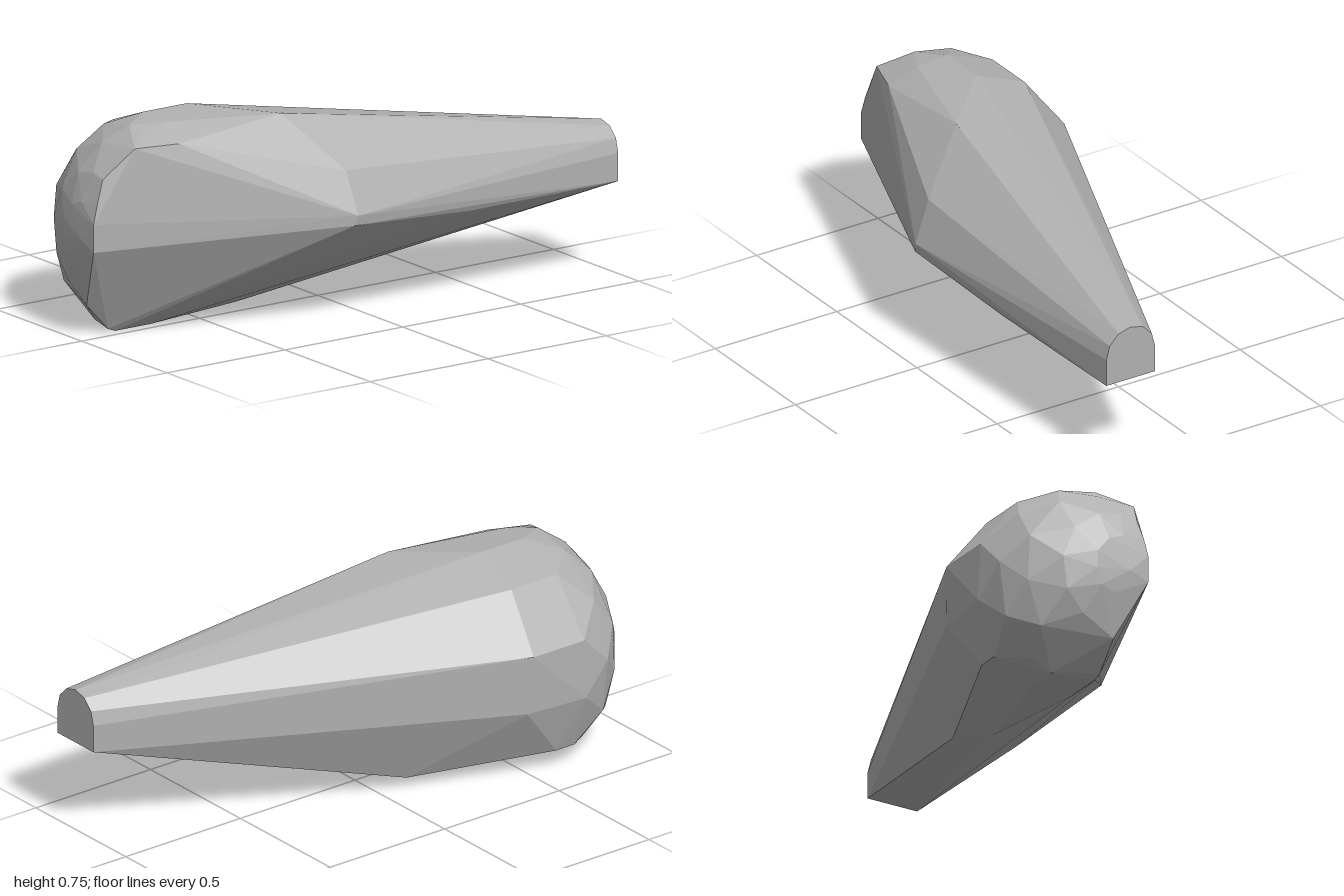
import * as THREE from 'three';
import { ConvexGeometry } from 'three/addons/geometries/ConvexGeometry.js';

const grey = new THREE.MeshStandardMaterial({ color: 0xb0b0b0 });
grey.name = 'stone grey';

export function createModel() {
  const points = [];
  const add = (x, y, z) => points.push(new THREE.Vector3(x, y, z));

  // narrow tail: flat base with an arched top
  add(0.18, 0.33, -1);
  add(0.38, 0.33, -1);
  for (let i = 0; i <= 6; i++) {
    const a = (i / 6) * Math.PI;
    add(0.28 + 0.1 * Math.cos(a), 0.43 + 0.1 * Math.sin(a), -1);
  }

  // widest outline of the blunt nose, from underside round to the top
  const outline = [[-0.04, 0], [-0.2, 0], [-0.355, 0.07], [-0.42, 0.27],
    [-0.41, 0.485], [-0.26, 0.68], [-0.075, 0.75], [0.05, 0.741]];
  // rounded nose: shrinking rings, staggered on every second one
  const cx = 0, cy = 0.38;
  const rings = [[0.68, 1], [0.79, 0.94], [0.87, 0.8], [0.945, 0.56], [0.985, 0.3]];
  rings.forEach(([z, s], r) => {
    outline.forEach(([x, y], i) => {
      let px = x, py = y, k = s;
      if (r % 2 && i < outline.length - 1) {
        px = (x + outline[i + 1][0]) / 2;
        py = (y + outline[i + 1][1]) / 2;
        k = s * 1.03;
      }
      add(cx + (px - cx) * k, cy + (py - cy) * k, z);
    });
  });

  // corners of the flat cut on the left side, the shoulder and the underside
  const corners = [
    [0.07, 0.33, 1], [0.07, 0.43, 1], [0, 0.36, 1], [0.065, 0.5, 0.98],
    [0.055, 0.58, 0.95], [0.105, 0.685, 0.85], [0.155, 0.69, 0.7],
    [0.36, 0.55, 0.14], [0.42, 0.4, 0.13], [0.415, 0.365, 0.14], [0.39, 0.33, -0.37],
    [0.16, 0.73, 0.27], [-0.075, 0.75, 0.5], [-0.26, 0.68, 0.48],
    [-0.41, 0.485, 0.46], [-0.4, 0.27, 0.44], [-0.355, 0.07, 0.6],
    [-0.16, 0.04, 0.1], [-0.1, 0, 0.27], [-0.2, 0, 0.8],
    [-0.04, 0, 0.83], [-0.04, 0.012, 0.86], [-0.04, 0.11, 0.95],
  ];
  corners.forEach((c) => add(...c));

  // one faceted, closed body
  const body = new THREE.Mesh(new ConvexGeometry(points), grey);
  body.name = 'taperedBody';

  const group = new THREE.Group();
  group.name = 'taperedStone';
  group.add(body);
  return group;
}
